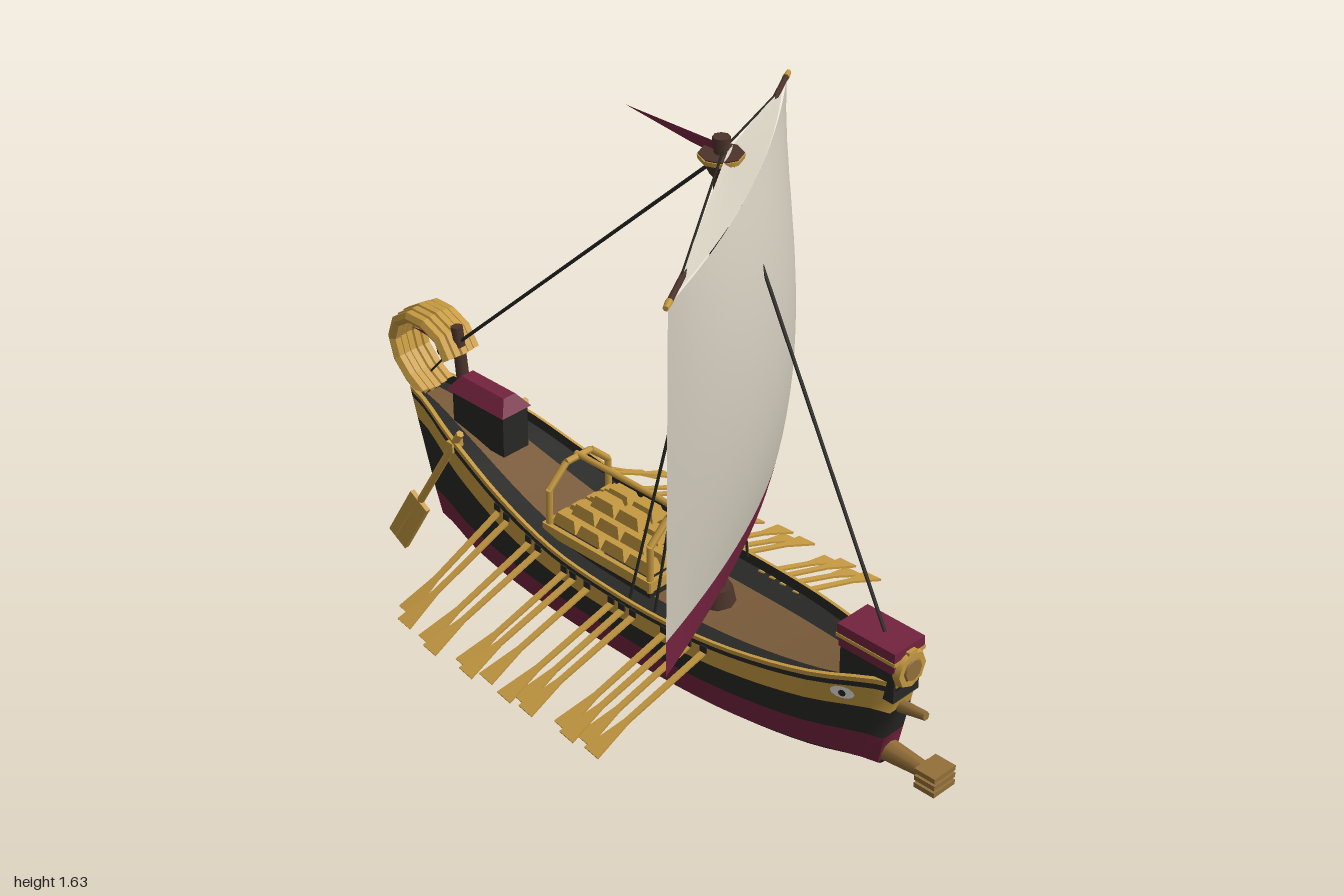
import * as THREE from 'three';
import { toCreasedNormals } from 'three/addons/utils/BufferGeometryUtils.js';

const mat = (name, color, side = THREE.FrontSide) => {
  const m = new THREE.MeshStandardMaterial({ color, side });
  m.name = name;
  return m;
};

export function createModel() {
  const gold = mat('gold', 0xc69a41), black = mat('black', 0x282826), maroon = mat('maroon', 0x74233f, THREE.DoubleSide);
  const deckWood = mat('deck wood', 0x7a5b3a), mastWood = mat('mast wood', 0x4c342b), bronze = mat('bronze', 0x94703a);
  const canvas = mat('canvas', 0xcfc9ba, THREE.DoubleSide), white = mat('white', 0xeeeeea);
  const model = new THREE.Group();
  model.name = 'galley';
  const V = (x, y, z) => new THREE.Vector3(x, y, z);

  const add = (name, geo, m, pos = [0, 0, 0], parent = model) => {
    const mesh = new THREE.Mesh(geo, m);
    mesh.name = name;
    mesh.position.set(...pos);
    parent.add(mesh);
    return mesh;
  };
  const box = (name, m, size, pos, parent) => add(name, new THREE.BoxGeometry(...size), m, pos, parent);
  // Round bar from a to b
  const bar = (name, m, a, b, r0, r1 = r0, sides = 6, parent = model) => {
    const d = b.clone().sub(a);
    const mesh = add(name, new THREE.CylinderGeometry(r1, r0, d.length(), sides), m, [0, 0, 0], parent);
    mesh.position.copy(a).add(b).multiplyScalar(0.5);
    mesh.quaternion.setFromUnitVectors(V(0, 1, 0), d.normalize());
  };
  // Four-sided block that narrows towards the top
  const taperBox = (sx, sy, sz, kx, kz) => {
    const g = new THREE.BoxGeometry(sx, sy, sz), p = g.attributes.position;
    for (let i = 0; i < p.count; i++) if (p.getY(i) > 0) p.setXYZ(i, p.getX(i) * kx, p.getY(i), p.getZ(i) * kz);
    g.computeVertexNormals();
    return g;
  };
  const flatShape = pts => new THREE.Shape(pts.map(p => new THREE.Vector2(...p)));
  const flatGeo = pts => new THREE.ShapeGeometry(flatShape(pts));

  // Hull lines at nine even stations, s = 0 at the stern and 1 at the bow
  const line = (...values) => {
    const c = new THREE.SplineCurve(values.map((v, i) => new THREE.Vector2(i, v)));
    return s => c.getPoint(s).y;
  };
  const sheer = line(0.49, 0.455, 0.39, 0.34, 0.325, 0.325, 0.335, 0.355, 0.39);
  const beam = line(0.062, 0.125, 0.163, 0.183, 0.19, 0.19, 0.17, 0.12, 0.04);
  const goldLow = line(0.4, 0.345, 0.29, 0.262, 0.255, 0.255, 0.26, 0.27, 0.29);
  const redTop = line(0.19, 0.19, 0.188, 0.187, 0.187, 0.187, 0.188, 0.19, 0.2);
  const keel = line(0.1, 0.066, 0.045, 0.035, 0.03, 0.03, 0.037, 0.06, 0.1);
  const mix = f => s => goldLow(s) + (sheer(s) - goldLow(s)) * f;
  const deckY = s => sheer(s) - 0.03;
  // Each level: height, share of beam, inset, colour of the band leading up to it
  const levels = [
    [keel, 0, 0], [s => keel(s) + (0.115 - keel(s)) * 0.35, 0.54, 0, black], [() => 0.115, 0.86, 0, black],
    [redTop, 0.93, 0, maroon], [goldLow, 0.99, 0, black], [mix(0.68), 1, 0, gold], [mix(0.85), 1, 0, black],
    [sheer, 1, 0, gold], [sheer, 1, 0.009, gold], [deckY, 1, 0.01, black], [deckY, 0.6, 0.014, black],
    [deckY, 0, 0.014, deckWood],
  ];
  const hullPoint = ([yf, share, inset], s, side) => {
    const y = yf(s);
    const x = THREE.MathUtils.lerp(-0.78 - (y - 0.1) * 0.28, 0.81 + (y - 0.1) * 0.2, s);
    return [x * (1 - inset / 0.85), y, side * Math.max(beam(s) * share - inset, 0)];
  };
  const hull = new THREE.Group();
  hull.name = 'hull';
  model.add(hull);
  const N = 32, M = 2 * (N + 1);
  for (let l = 1; l < levels.length; l++) {
    const pos = [], idx = [];
    for (const level of [levels[l - 1], levels[l]]) {
      for (let i = 0; i <= N; i++) pos.push(...hullPoint(level, i / N, 1));
      for (let i = N; i >= 0; i--) pos.push(...hullPoint(level, i / N, -1));
    }
    for (let i = 0; i < M; i++) {
      const j = (i + 1) % M;
      idx.push(i, j, M + j, i, M + j, M + i);
    }
    const g = new THREE.BufferGeometry();
    g.setAttribute('position', new THREE.Float32BufferAttribute(pos, 3));
    g.setIndex(idx);
    add('hullBand', toCreasedNormals(g, 1.3), levels[l][3], [0, 0, 0], hull);
  }

  // Flat oars with flared blades, and their ports
  const tips = [-0.48, -0.44, -0.345, -0.305, -0.2, -0.165, -0.11, -0.02, 0.02, 0.06, 0.17, 0.21, 0.25, 0.3];
  for (const side of [1, -1]) {
    tips.forEach((x, i) => {
      const s = (x + 0.89) / 1.68;
      const a = V(x + 0.05, mix(0.55)(s), side * (beam(s) - 0.02));
      const b = V(x, 0.14, side * (x < -0.4 ? 0.46 + 0.04 * i : 0.51 + 0.02 * (i % 2)));
      const d = b.clone().sub(a), L = d.length();
      d.normalize();
      const n = V(1, 0, 0).cross(d).normalize();
      const outline = flatShape([[-0.009, 0], [0.009, 0], [0.009, L - 0.12], [0.027, L], [-0.027, L], [-0.009, L - 0.12]]);
      const oar = add('oar', new THREE.ExtrudeGeometry(outline, { depth: 0.006, bevelEnabled: false }), gold);
      oar.quaternion.setFromRotationMatrix(new THREE.Matrix4().makeBasis(d.clone().cross(n), d, n));
      oar.position.copy(a);
      box('oarPort', black, [0.022, 0.02, 0.008], [x + 0.05, mix(0.6)(s), side * beam(s)]);
    });
    // Steering oar
    const steer = new THREE.Group();
    steer.name = 'steeringOar';
    model.add(steer);
    bar('steeringShaft', gold, V(-0.62, 0.48, side * 0.12), V(-0.885, 0.025, side * 0.133), 0.011, 0.011, 6, steer);
    box('steeringBlade', gold, [0.075, 0.2, 0.014], [-0.838, 0.105, side * 0.131], steer).rotation.z = -0.53;
    box('steeringBracket', gold, [0.025, 0.03, 0.04], [-0.65, 0.43, side * 0.115], steer);
    // Painted eye at the bow
    const yaw = side > 0 ? 0.36 : Math.PI - 0.36;
    const eye = add('eye', new THREE.CircleGeometry(0.025, 12), white, [0.735, 0.322, side * 0.09]);
    eye.scale.set(1.3, 0.7, 1);
    eye.rotation.y = yaw;
    add('pupil', new THREE.CircleGeometry(0.01, 10), black, [0.737, 0.322, side * 0.093]).rotation.y = yaw;
    // Shrouds
    for (const x of [0.08, 0.17]) bar('shroud', black, V(0.21, 1.33, side * 0.015), V(x, 0.32, side * 0.172), 0.005, 0.004, 5);
  }

  // Curled stern ornament of five angular strands
  const curl = [[-0.85, 0.47], [-0.92, 0.515], [-0.968, 0.58], [-0.962, 0.655], [-0.915, 0.703], [-0.84, 0.712], [-0.77, 0.685], [-0.735, 0.63]];
  for (let i = -2; i <= 2; i++) {
    const k = 1 - Math.abs(i) * 0.03;
    const curve = new THREE.CatmullRomCurve3(curl.map(([x, y]) => V(-0.86 + (x + 0.86) * k, 0.6 + (y - 0.6) * k, i * 0.023)));
    add('sternCurl', toCreasedNormals(new THREE.TubeGeometry(curve, 8, 0.018, 6), 0.2), gold);
  }
  bar('sternPost', mastWood, V(-0.725, 0.45, 0), V(-0.755, 0.71, 0), 0.02, 0.018);
  add('sternPennant', flatGeo([[-0.76, 0.66], [-0.94, 0.632], [-0.76, 0.622]]), maroon);
  bar('lanternHook', black, V(-0.82, 0.7, 0), V(-0.82, 0.63, 0), 0.004);
  bar('lantern', black, V(-0.82, 0.6, 0), V(-0.82, 0.645, 0), 0.014, 0.02);

  // Stern cabin
  box('sternCabin', black, [0.2, 0.13, 0.09], [-0.63, 0.475, 0]);
  add('cabinRoof', taperBox(0.225, 0.04, 0.105, 0.75, 0.4), maroon, [-0.635, 0.557, 0]);

  // Bow cabin with round shield
  box('bowCabinBase', black, [0.175, 0.1, 0.095], [0.775, 0.38, 0]);
  box('bowCabinWall', maroon, [0.18, 0.03, 0.105], [0.775, 0.435, 0]);
  box('bowCabinTrim', gold, [0.19, 0.01, 0.116], [0.775, 0.454, 0]);
  box('bowCabinRoof', maroon, [0.186, 0.028, 0.112], [0.775, 0.473, 0]);
  bar('bowShield', gold, V(0.862, 0.42, 0), V(0.88, 0.42, 0), 0.056, 0.05, 8);
  bar('bowShieldCentre', bronze, V(0.878, 0.42, 0), V(0.885, 0.42, 0), 0.034, 0.03, 8);
  box('bowPost', gold, [0.018, 0.1, 0.03], [0.87, 0.425, 0]);
  bar('bowSpur', bronze, V(0.82, 0.29, 0), V(0.93, 0.305, 0), 0.02, 0.012);

  // Ram with three blades
  bar('ramBeam', bronze, V(0.78, 0.14, 0), V(0.95, 0.14, 0), 0.033, 0.02, 8);
  for (const y of [0.118, 0.14, 0.162]) box('ramBlade', bronze, [0.065, 0.014, 0.08], [0.967, y, 0]);
  box('ramCore', bronze, [0.05, 0.05, 0.03], [0.955, 0.14, 0]);

  // Cargo pallet, stacked ingots and the frame over them
  box('pallet', black, [0.39, 0.05, 0.23], [-0.1, 0.312, 0]);
  for (const z of [-0.115, 0, 0.115]) box('palletRail', gold, [0.4, 0.03, 0.014], [-0.1, 0.332, z]);
  for (const x of [-0.295, -0.1, 0.095]) box('palletRail', gold, [0.014, 0.03, 0.24], [x, 0.332, 0]);
  const ingot = taperBox(0.088, 0.034, 0.05, 0.72, 0.7);
  [4, 3, 2].forEach((n, row) => {
    for (let i = 0; i < n; i++) for (let j = 0; j < n; j++)
      add('ingot', ingot, gold, [-0.1 + (i - (n - 1) / 2) * 0.091, 0.365 + row * 0.035, (j - (n - 1) / 2) * 0.053]);
  });
  const arch = [[0.11, 0.31], [0.108, 0.45], [0.045, 0.508], [-0.045, 0.508], [-0.108, 0.45], [-0.11, 0.31]];
  for (const x of [-0.285, 0.09])
    for (let i = 0; i < 5; i++) bar('frameArch', gold, V(x, arch[i][1], arch[i][0]), V(x, arch[i + 1][1], arch[i + 1][0]), 0.01);
  bar('frameRidge', gold, V(-0.295, 0.512, 0), V(0.1, 0.512, 0), 0.009);

  // Mast and lookout
  bar('mast', mastWood, V(0.225, 0.29, 0), V(0.22, 1.63, 0), 0.022, 0.018, 8);
  add('mastFoot', new THREE.CylinderGeometry(0.04, 0.05, 0.05, 8), mastWood, [0.225, 0.32, 0]);
  add('lookoutBasket', new THREE.CylinderGeometry(0.056, 0.028, 0.055, 8), mastWood, [0.22, 1.56, 0]);
  add('lookoutRim', new THREE.CylinderGeometry(0.058, 0.056, 0.012, 8), gold, [0.22, 1.578, 0]);
  add('mastCap', new THREE.CylinderGeometry(0.022, 0.022, 0.02, 8), mastWood, [0.22, 1.62, 0]);
  add('mastPennant', flatGeo([[0.22, 1.61], [-0.1, 1.602], [0.12, 1.58], [0.22, 1.575]]), maroon);

  // Yard and billowing sail, braced around at an angle
  const rig = new THREE.Group();
  rig.name = 'rig';
  rig.position.set(0.245, 0, -0.01);
  rig.rotation.y = -Math.PI / 3;
  model.add(rig);
  bar('yard', mastWood, V(-0.6, 1.515, 0), V(0.6, 1.515, 0), 0.008, 0.008, 6, rig);
  for (const e of [-1, 1]) {
    bar('yardTip', gold, V(e * 0.585, 1.515, 0), V(e * 0.618, 1.515, 0), 0.01, 0.007, 6, rig);
    bar('yardLift', black, V(e * 0.5, 1.515, 0), V(0, 1.6, 0.02), 0.003, 0.003, 5, rig);
  }
  // Sheet over u from -1 to 1 and v from v0 to v1, placed by a rule
  const sheet = (name, m, v0, v1, rows, rule) => {
    const g = new THREE.PlaneGeometry(2, 1, 20, rows), p = g.attributes.position;
    for (let i = 0; i < p.count; i++) {
      const u = p.getX(i);
      p.setXYZ(i, ...rule(u, v0 + (0.5 - p.getY(i)) * (v1 - v0), 1 - u * u));
    }
    g.computeVertexNormals();
    add(name, g, m, [0, 0, 0], rig);
  };
  const billow = (u, v, bulge) =>
    [u * (0.598 + 0.012 * v), 1.51 - v * (1.01 - 0.06 * bulge), -bulge * (0.05 + 0.315 * v - 0.29 * v * v)];
  sheet('sail', canvas, 0, 0.9, 16, billow);
  sheet('sailHem', maroon, 0.9, 1, 2, billow);
  sheet('topsail', canvas, 0, 1, 3, (u, v, bulge) => [u * v * 0.55, 1.595 - 0.085 * v, 0.01 - v * (0.01 + 0.05 * bulge)]);

  // Stays
  bar('backstay', black, V(0.2, 1.56, 0), V(-0.74, 0.67, 0), 0.005, 0.005, 5);
  bar('backstayTail', black, V(-0.74, 0.67, 0), V(-0.87, 0.52, 0), 0.003, 0.003, 5);
  bar('forestay', black, V(0.25, 1.55, 0), V(0.79, 0.48, 0), 0.005, 0.005, 5);
  return model;
}
